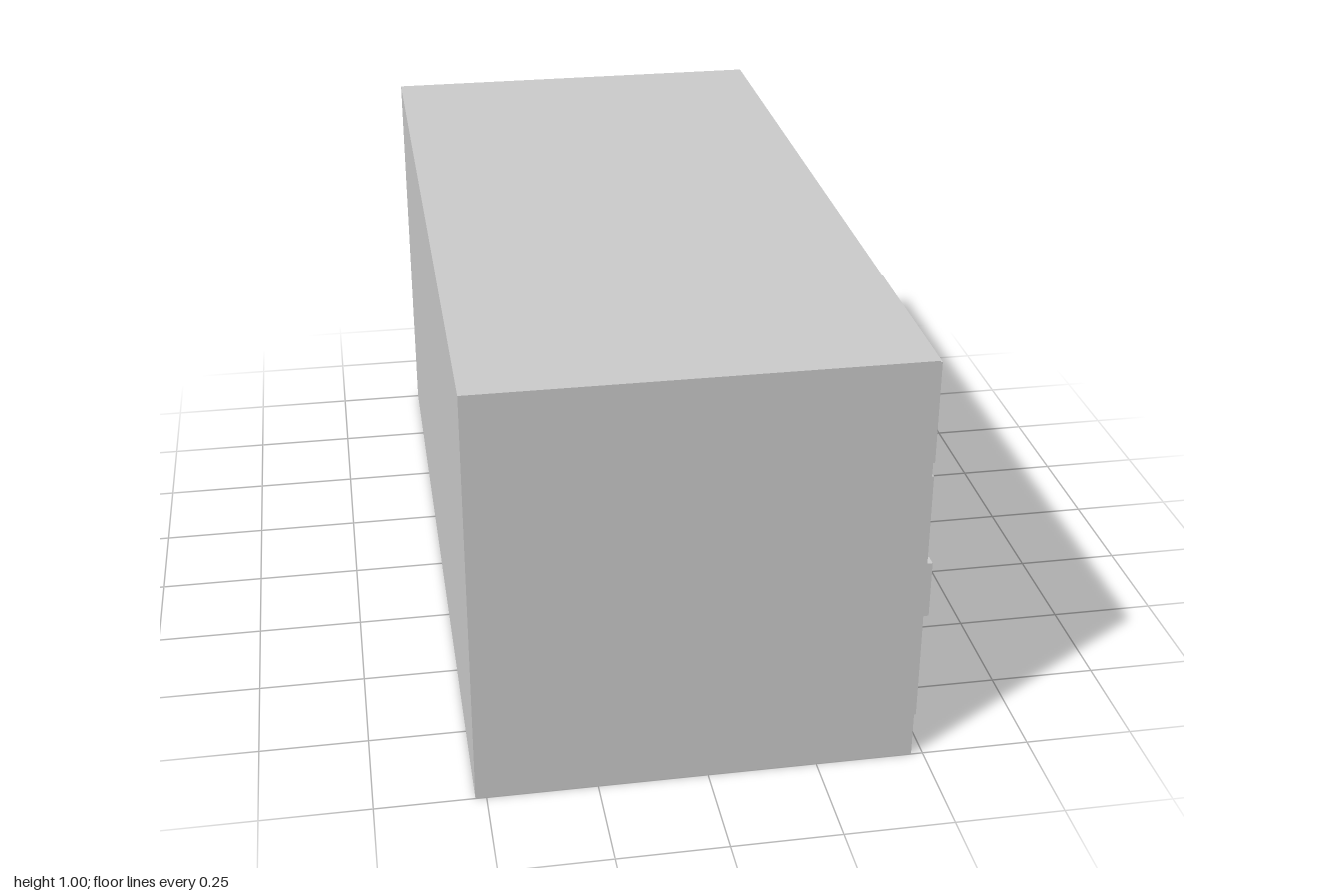
import * as THREE from 'three';

const material = new THREE.MeshStandardMaterial({ color: 0xcccccc, flatShading: true });

// Box given by its [min, max] extent on each axis
function box(name, [x0, x1], [y0, y1], [z0, z1]) {
  const mesh = new THREE.Mesh(new THREE.BoxGeometry(x1 - x0, y1 - y0, z1 - z0), material);
  mesh.name = name;
  mesh.position.set((x0 + x1) / 2, (y0 + y1) / 2, (z0 + z1) / 2);
  return mesh;
}

export function createModel() {
  const desk = new THREE.Group();
  desk.name = 'desk';

  // Main planes of the carcass
  const back = -0.525, backInner = -0.459, face = 0.473;
  const under = 0.97, cabinetSide = 0.416, panelInner = -0.947;
  const depth = [backInner, face];

  // Carcass: the knee space faces +x
  desk.add(
    box('desktop', [back, face], [under, 1], [-1, 1]),
    box('backPanel', [back, backInner], [0, under], [-1, 1]),
    box('sidePanel', depth, [0, under], [-1, panelInner]),
    box('cabinet', depth, [0, under], [cabinetSide, 1]),
    box('shelf', depth, [0.703, 0.725], [panelInner, cabinetSide])
  );

  // Raised drawer and door fronts with bar handles
  const front = [face, 0.498], handle = [0.498, 0.523], width = [0.475, 0.94];
  desk.add(
    box('drawerFront', front, [0.725, 0.967], width),
    box('drawerHandle', handle, [0.835, 0.858], [0.639, 0.776]),
    box('doorFront', front, [0.065, 0.692], width),
    box('doorHandle', handle, [0.308, 0.447], [0.876, 0.903])
  );

  return desk;
}
